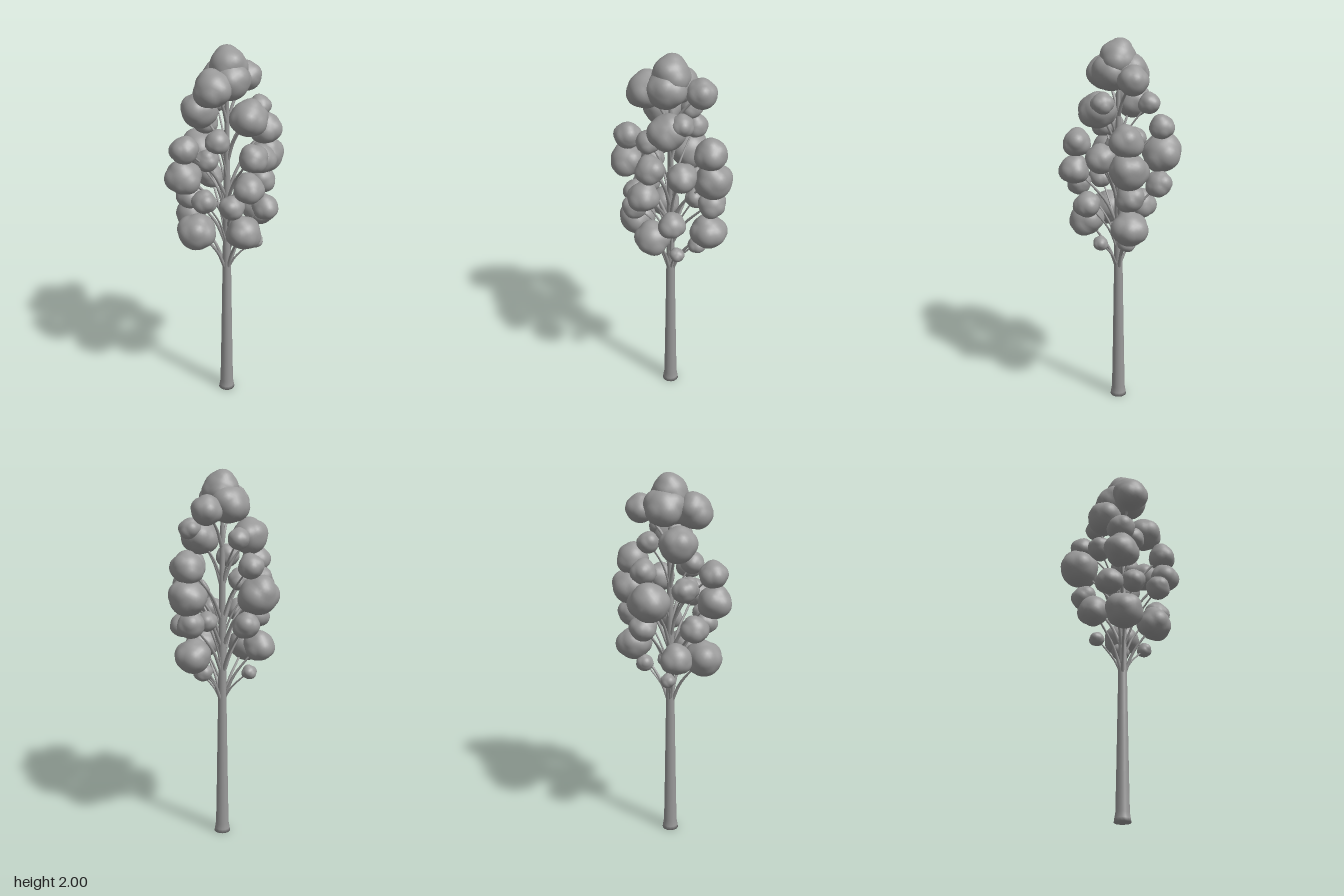
import * as THREE from 'three';
import { mergeVertices } from 'three/addons/utils/BufferGeometryUtils.js';

// leaf clusters per tier: x, y, z, radius
const crown = [
  [0.005, 1.9, 0, 0.098], [0.02, 1.83, 0.03, 0.105], [-0.03, 1.83, -0.04, 0.105],
  [-0.05, 1.81, 0.11, 0.098], [0.08, 1.81, -0.135, 0.08],
];
const upper = [
  [-0.14, 1.66, 0.0, 0.098], [0.115, 1.65, 0.05, 0.098], [0.165, 1.7, -0.01, 0.058],
  [-0.08, 1.67, -0.135, 0.058], [-0.03, 1.54, 0.11, 0.064],
];
const middle = [
  [-0.185, 1.51, 0.175, 0.075], [-0.19, 1.37, 0.18, 0.092], [-0.18, 1.23, 0.08, 0.075],
  [-0.09, 1.235, 0.165, 0.065],
  [0.155, 1.48, 0.15, 0.075], [0.14, 1.33, 0.18, 0.08], [0.06, 1.23, 0.205, 0.066],
  [-0.14, 1.54, -0.175, 0.068], [-0.18, 1.39, -0.155, 0.108], [-0.12, 1.24, -0.175, 0.072],
  [0.175, 1.53, -0.155, 0.088], [0.175, 1.38, -0.17, 0.102], [0.16, 1.24, -0.17, 0.075],
  [0.175, 1.42, -0.005, 0.08], [-0.09, 1.42, 0.07, 0.062], [-0.195, 1.44, 0.02, 0.065],
  [0.21, 1.18, 0.055, 0.07], [0.08, 1.24, -0.11, 0.055],
];
const lower = [
  [-0.135, 1.05, 0.145, 0.1], [0.11, 1.06, 0.13, 0.092],
  [0.15, 1.07, -0.16, 0.095], [-0.195, 1.085, -0.02, 0.085],
  [-0.14, 0.95, -0.05, 0.04], [0.155, 0.96, 0.01, 0.04], [0.1, 0.97, -0.115, 0.05],
];

function seeded(seed) {
  let s = seed;
  return () => (s = (s * 16807) % 2147483647) / 2147483647;
}

// A sphere pushed out to the union of several overlapping lobes
function clusterGeometry(radius, seed) {
  const rnd = seeded(seed * 7919 + 13);
  for (let i = 0; i < 5; i++) rnd();
  const lobes = [{ c: new THREE.Vector3(), r: 0.92 }];
  const turn = rnd() * Math.PI * 2;
  for (let i = 0; i < 6; i++) {
    const a = turn + i * Math.PI / 3;
    const c = new THREE.Vector3(Math.cos(a), rnd() * 1.4 - 0.7, Math.sin(a)).normalize();
    lobes.push({ c: c.multiplyScalar(0.35), r: 0.62 + rnd() * 0.1 });
  }
  lobes.push({ c: new THREE.Vector3(rnd() * 0.3 - 0.15, 0.35, rnd() * 0.3 - 0.15), r: 0.66 });
  let geo = new THREE.IcosahedronGeometry(1, 6);
  geo.deleteAttribute('uv');
  geo.deleteAttribute('normal');
  geo = mergeVertices(geo, 1e-4);
  const pos = geo.attributes.position;
  const d = new THREE.Vector3();
  for (let i = 0; i < pos.count; i++) {
    d.fromBufferAttribute(pos, i).normalize();
    let reach = 0;
    for (const { c, r } of lobes) {
      const b = d.dot(c);
      const q = b * b - c.lengthSq() + r * r;
      if (q > 0) reach = Math.max(reach, b + Math.sqrt(q));
    }
    d.multiplyScalar(reach * radius);
    pos.setXYZ(i, d.x, d.y, d.z);
  }
  geo.computeVertexNormals();
  return geo;
}

// Tube whose rings shrink towards the tip
function taperedTube(curve, r0, r1) {
  const steps = 10, sides = 7;
  const geo = new THREE.TubeGeometry(curve, steps, r0, sides);
  const pos = geo.attributes.position;
  const p = new THREE.Vector3();
  for (let i = 0; i <= steps; i++) {
    const mid = curve.getPointAt(i / steps);
    const k = 1 + (r1 / r0 - 1) * (i / steps);
    for (let j = 0; j <= sides; j++) {
      const n = i * (sides + 1) + j;
      p.fromBufferAttribute(pos, n).sub(mid).multiplyScalar(k).add(mid);
      pos.setXYZ(n, p.x, p.y, p.z);
    }
  }
  return geo;
}

export function createModel() {
  const grey = new THREE.MeshStandardMaterial({ color: 0x999999 });
  grey.name = 'matte grey';
  const tree = new THREE.Group();
  tree.name = 'tree';
  const add = (parent, name, geo) => {
    const mesh = new THREE.Mesh(geo, grey);
    mesh.name = name;
    parent.add(mesh);
    return mesh;
  };

  // trunk with flared foot, thinning up into the crown
  const profile = [
    [0, 0], [0.044, 0], [0.041, 0.02], [0.036, 0.05], [0.032, 0.25], [0.027, 0.55],
    [0.023, 0.8], [0.021, 1.0], [0.017, 1.35], [0.012, 1.65], [0.005, 1.9], [0, 1.9],
  ].map(([x, y]) => new THREE.Vector2(x, y));
  add(tree, 'trunk', new THREE.LatheGeometry(profile, 14));

  const branches = new THREE.Group();
  branches.name = 'branches';
  const foliage = new THREE.Group();
  foliage.name = 'foliage';
  tree.add(branches, foliage);

  // each cluster sits on the tip of its own rising branch
  let seed = 1;
  for (const [tier, list, drop] of [
    ['crown', crown, 0.2], ['upper', upper, 0.25], ['middle', middle, 0.3], ['lower', lower, 0.3],
  ]) {
    for (const [x, y, z, r] of list) {
      const leaf = add(foliage, tier + 'LeafCluster', clusterGeometry(r, seed++));
      leaf.position.set(x, y, z);
      if (Math.hypot(x, z) < 0.06) continue; // these sit on the trunk itself
      const y0 = Math.max(0.77, y - drop);
      const curve = new THREE.CatmullRomCurve3([
        new THREE.Vector3(x * 0.04, y0, z * 0.04),
        new THREE.Vector3(x * 0.3, y0 + (y - y0) * 0.42, z * 0.3),
        new THREE.Vector3(x * 0.7, y0 + (y - y0) * 0.78, z * 0.7),
        new THREE.Vector3(x, y, z),
      ]);
      add(branches, tier + 'Branch', taperedTube(curve, r > 0.07 ? 0.01 : 0.006, 0.004));
    }
  }
  return tree;
}
